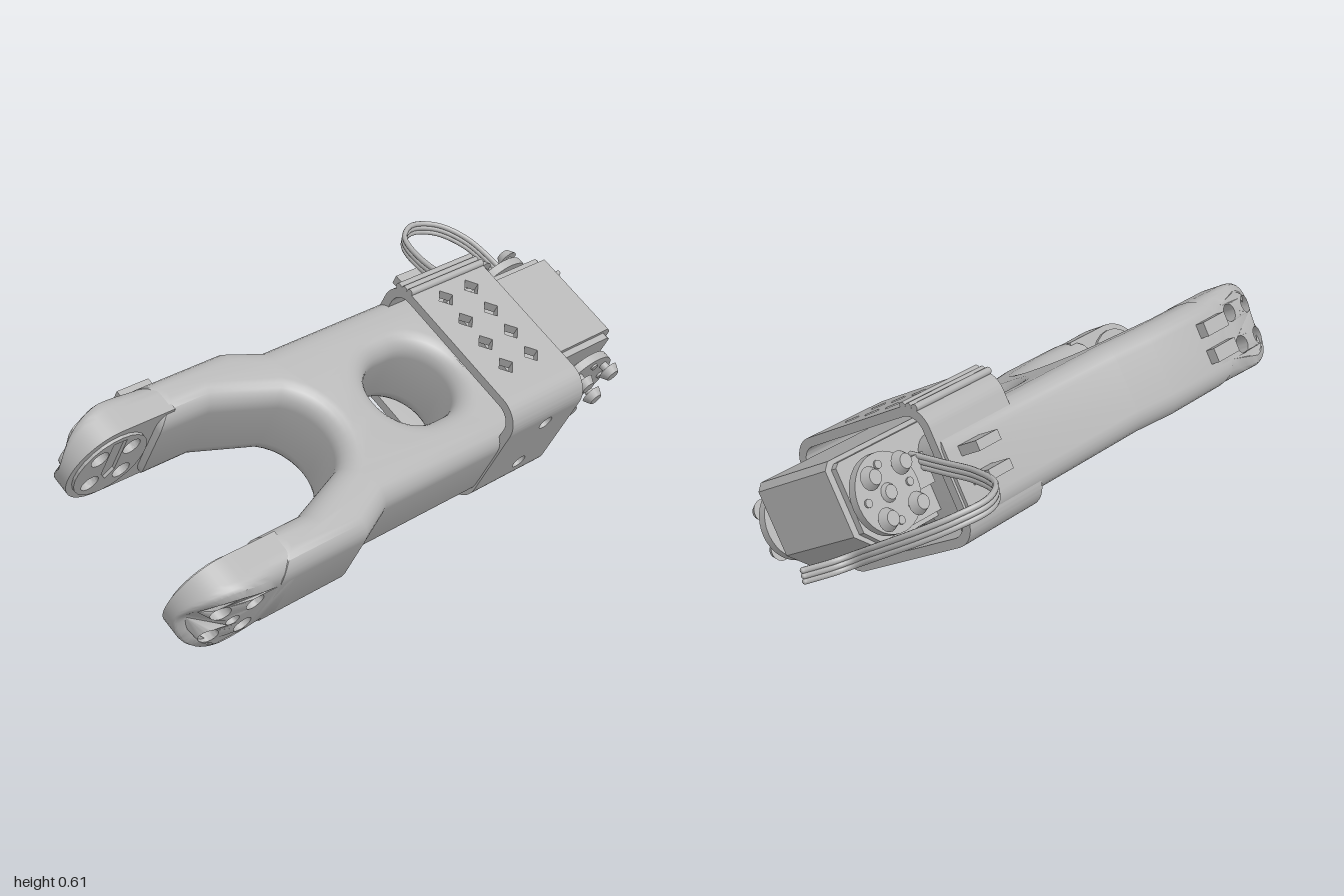
import * as THREE from 'three';
import { toCreasedNormals } from 'three/addons/utils/BufferGeometryUtils.js';

const grey = new THREE.MeshStandardMaterial({ color: 0xb4b4b4 });
grey.name = 'matte grey';

const V = 0.278;   // mid height of the arm in its tilted frame
const W = -0.056;  // mid depth of the arm

function add(parent, name, geo, x = 0, y = 0, z = 0) {
  const mesh = new THREE.Mesh(geo, grey);
  mesh.name = name;
  mesh.position.set(x, y, z);
  parent.add(mesh);
  return mesh;
}

const box = (parent, name, size, pos) => add(parent, name, new THREE.BoxGeometry(...size), ...pos);

function cylZ(parent, name, rFront, rBack, h, pos, sides = 24) {
  return add(parent, name, new THREE.CylinderGeometry(rFront, rBack, h, sides).rotateX(Math.PI / 2), ...pos);
}

const vectors = pts => pts.map(p => new THREE.Vector2(...p));
const polygon = pts => new THREE.Shape(vectors(pts));
const circle = (x, y, r) => new THREE.Path().absarc(x, y, r, 0, Math.PI * 2, true);
const diamond = (x, y, r) => new THREE.Path(vectors([[x + r, y], [x, y - r], [x - r, y], [x, y + r]]));

const extrude = (shape, depth, opts = {}) =>
  new THREE.ExtrudeGeometry(shape, { depth, bevelEnabled: false, curveSegments: 12, ...opts });

// Arm with a V fork at one end, an oval opening and a longer rear rail
function armBody(parent) {
  const start = -0.73;
  const s = new THREE.Shape();
  s.moveTo(start, 0.338);
  s.lineTo(start, 0.195);
  s.lineTo(-0.56, 0.195);
  s.lineTo(-0.36, 0.125);
  s.bezierCurveTo(-0.27, 0.07, -0.27, -0.07, -0.36, -0.125);
  s.lineTo(-0.56, -0.195);
  s.lineTo(start, -0.195);
  s.lineTo(start, -0.338);
  s.lineTo(-0.42, -0.338);
  s.lineTo(-0.3, -0.29);
  s.lineTo(0.465, -0.29);
  s.lineTo(0.465, -0.14);
  s.lineTo(0.29, -0.14);
  s.lineTo(0.29, 0.285);
  s.lineTo(-0.3, 0.285);
  s.lineTo(-0.42, 0.338);
  const opening = new THREE.Path();
  opening.absarc(0.02, 0, 0.12, Math.PI / 2, Math.PI * 1.5, false);
  opening.absarc(0.07, 0, 0.12, -Math.PI / 2, Math.PI / 2, false);
  s.holes.push(opening);
  const b = 0.06;
  const geo = extrude(s, 0.28 - 2 * b, {
    bevelEnabled: true, bevelSize: b, bevelThickness: b, bevelOffset: -b, bevelSegments: 6,
  });
  geo.translate(0, 0, b - 0.14).rotateX(Math.PI / 2);
  add(parent, 'armBody', toCreasedNormals(geo, 0.6), 0, V, W);
}

// Fork tip with screw holes; the outer face is rounded and thins towards the end
function forkTip(parent, side) {
  const R = 0.137, depth = 0.12, end = 0.18;
  const holes = [];
  for (const i of [-1, 1]) for (const j of [-1, 1]) holes.push([i * 0.053, j * 0.053, 0.028]);
  const s = new THREE.Shape();
  s.moveTo(end, R);
  for (let i = 1; i < 6; i++) s.lineTo(end - i * end / 6, R);
  s.absarc(0, 0, R, Math.PI / 2, Math.PI * 1.5, false);
  for (let i = 1; i <= 6; i++) s.lineTo(i * end / 6, -R);
  holes.forEach(h => s.holes.push(circle(...h)));
  if (side > 0) s.holes.push(circle(0, 0, 0.02));
  const geo = extrude(s, depth, { steps: 12 });
  const p = geo.attributes.position;
  for (let i = 0; i < p.count; i++) {
    const x = p.getX(i), y = p.getY(i), z = p.getZ(i), ax = Math.max(0, x);
    if (Math.hypot(x - ax, y) > R - 0.005) {
      const bevel = 0.03 + 0.03 * Math.min(1, ax / 0.13);
      const t = Math.max(0, (z - depth + bevel) / bevel);
      const k = (R - bevel * (1 - Math.sqrt(Math.max(0, 1 - t * t)))) / R;
      p.setXY(i, ax + (x - ax) * k, y * k);
    }
    const d = Math.min(1, Math.max(0, 0.06 - x) / 0.2);
    p.setZ(i, z * (0.3 + 0.7 * Math.sqrt(1 - d * d)));
  }
  const tip = new THREE.Group();
  tip.name = side > 0 ? 'frontForkTip' : 'rearForkTip';
  add(tip, 'tipBody', toCreasedNormals(geo, 0.6));
  // mounting face with a house-shaped pocket
  const face = new THREE.Shape().absarc(0, 0, 0.118, 0, Math.PI * 2, false);
  holes.forEach(h => face.holes.push(circle(...h)));
  face.holes.push(new THREE.Path(vectors([[-0.022, -0.1], [-0.022, 0.03], [0, 0.06], [0.022, 0.03], [0.022, -0.1]])));
  add(tip, 'mountingFace', extrude(face, 0.009), 0, 0, -0.009);
  tip.position.set(-0.86, V, W + side * (0.338 - depth));
  if (side < 0) tip.rotation.x = Math.PI;
  parent.add(tip);
}

// Thin sleeve around the actuator: four walls and four rounded corners
function sleeve(parent) {
  const g = new THREE.Group();
  g.name = 'sleeve';
  const len = 0.31, hv = 0.208, hw = 0.285, r = 0.08, t = 0.028;
  const plate = (h, holes) => {
    const s = polygon([[-len / 2, -h], [len / 2, -h], [len / 2, h], [-len / 2, h]]);
    s.holes.push(...holes);
    return extrude(s, t).translate(0, 0, -t / 2);
  };
  const vents = [];
  for (const x of [-0.055, 0.055]) for (let i = 0; i < 4; i++) vents.push(diamond(x, -0.023 + (i - 1.5) * 0.091, 0.029));
  for (const side of [-1, 1]) {
    add(g, side > 0 ? 'topWall' : 'bottomWall', plate(hw - r, vents).rotateX(Math.PI / 2), 0, side * (hv - t / 2), 0);
    const bolts = side > 0 ? [circle(0.02, 0.1, 0.024), circle(0.02, -0.09, 0.024)] : [];
    add(g, side > 0 ? 'frontWall' : 'rearWall', plate(hv - r, bolts), 0, 0, side * (hw - t / 2));
  }
  for (let i = 0; i < 4; i++) {
    const a = i * Math.PI / 2;
    const s = new THREE.Shape();
    s.absarc(0, 0, r, a, a + Math.PI / 2, false);
    s.absarc(0, 0, r - t, a + Math.PI / 2, a, true);
    const sx = i === 0 || i === 3 ? 1 : -1, sy = i < 2 ? 1 : -1;
    const geo = extrude(s, len).translate(0, 0, -len / 2).rotateY(Math.PI / 2);
    add(g, 'corner', toCreasedNormals(geo, 0.6), 0, sy * (hv - r), -sx * (hw - r));
  }
  // small ridges along the rear top seam
  for (let i = 0; i < 3; i++) {
    add(g, 'seamRidge', new THREE.CylinderGeometry(0.011, 0.011, len, 10).rotateZ(Math.PI / 2),
      0, 0.209 - i * 0.008, -0.22 - i * 0.02);
  }
  g.position.set(0.318, 0.308, -0.05);
  parent.add(g);
}

// Horn disc with four pan-head screws
function horn(parent, side) {
  const g = new THREE.Group();
  g.name = side > 0 ? 'frontHorn' : 'rearHorn';
  cylZ(g, 'hornDisc', 0.112, 0.112, 0.026, [0, 0, 0.032], 36);
  cylZ(g, 'hornHub', 0.05, 0.05, 0.03, [0, 0, 0.012]);
  cylZ(g, 'hubScrew', 0.02, 0.028, 0.014, [0, 0, 0.05], 16);
  for (let i = 0; i < 4; i++) {
    const a = Math.PI / 4 + i * Math.PI / 2, x = 0.083 * Math.cos(a), y = 0.083 * Math.sin(a);
    cylZ(g, 'screwShaft', 0.014, 0.014, 0.04, [x, y, 0.055], 12);
    cylZ(g, 'screwHead', 0.021, 0.033, 0.024, [x, y, 0.08], 18);
    const b = i * Math.PI / 2;
    cylZ(g, 'rivet', 0.012, 0.012, 0.008, [0.08 * Math.cos(b), 0.08 * Math.sin(b), 0.047], 12);
  }
  g.position.set(0.65, 0.33, side > 0 ? 0.1 : -0.24);
  if (side < 0) g.rotation.y = Math.PI;
  parent.add(g);
}

function actuator(parent) {
  const profile = polygon([[0.3, 0.2], [0.7, 0.2], [0.765, 0.26], [0.765, 0.45], [0.745, 0.47], [0.3, 0.47]]);
  add(parent, 'actuatorCase', extrude(profile, 0.3), 0, 0, -0.22);
  const cap = polygon([[0.32, 0.215], [0.7, 0.215], [0.745, 0.26], [0.745, 0.445], [0.73, 0.457], [0.32, 0.457]]);
  add(parent, 'frontCap', extrude(cap, 0.02), 0, 0, 0.08);
  add(parent, 'rearCap', extrude(cap, 0.02), 0, 0, -0.24);
  horn(parent, 1);
  horn(parent, -1);
  box(parent, 'plugSocket', [0.06, 0.09, 0.05], [0.51, 0.34, -0.255]);
}

// Cable clips on the rear side
function clips(parent) {
  for (const v of [0.24, 0.325]) {
    box(parent, 'forkClip', [0.11, 0.045, 0.06], [-0.69, v, -0.395]);
    box(parent, 'bodyClip', [0.09, 0.03, 0.09], [0.37, v + 0.02, -0.375]);
  }
}

// Three-strand cable looping behind the actuator
function cable(parent) {
  const path = [[0.5, 0.45, -0.03], [0.5, 0.462, -0.14], [0.515, 0.485, -0.27], [0.565, 0.505, -0.38], [0.65, 0.51, -0.425],
    [0.74, 0.49, -0.395], [0.8, 0.445, -0.32], [0.825, 0.37, -0.2], [0.83, 0.315, -0.115], [0.87, 0.305, -0.09], [0.99, 0.337, -0.1]];
  for (let i = -1; i <= 1; i++) {
    const curve = new THREE.CatmullRomCurve3(path.map(([x, y, z]) => new THREE.Vector3(x, y + i * 0.015, z + i * 0.003)));
    add(parent, 'cableStrand', new THREE.TubeGeometry(curve, 70, 0.0085, 8));
    for (const [x, y, z] of [path[0], path[path.length - 1]]) {
      add(parent, 'strandEnd', new THREE.SphereGeometry(0.0085, 8, 6), x, y + i * 0.015, z + i * 0.003);
    }
  }
}

export function createModel() {
  const model = new THREE.Group();
  model.name = 'roboticArmLink';
  const link = new THREE.Group();
  link.name = 'tiltedLink';
  link.rotation.x = Math.PI / 6;
  armBody(link);
  forkTip(link, 1);
  forkTip(link, -1);
  sleeve(link);
  actuator(link);
  clips(link);
  model.add(link);
  cable(model);
  return model;
}
